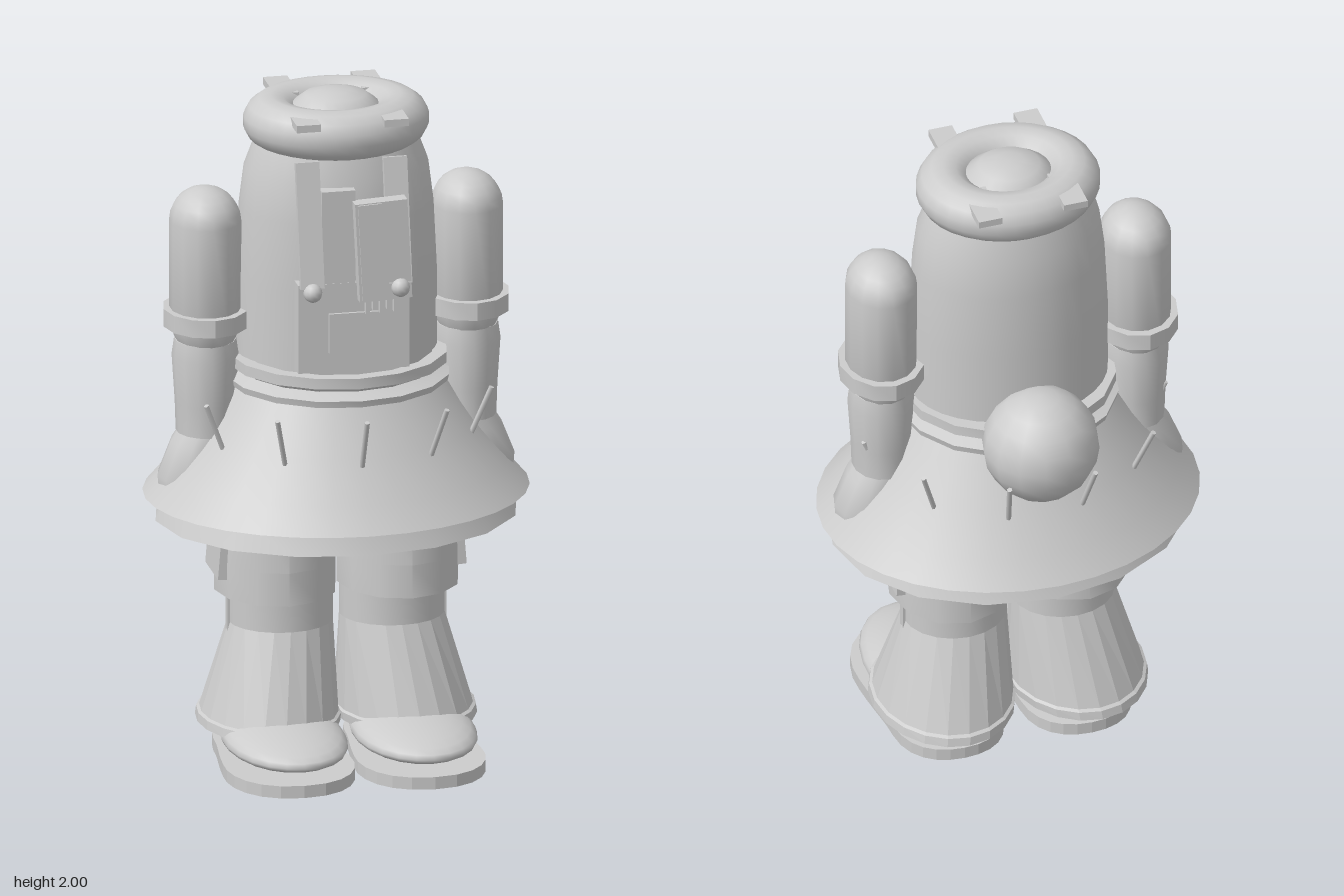
import * as THREE from 'three';
import { toCreasedNormals } from 'three/addons/utils/BufferGeometryUtils.js';

const grey = new THREE.MeshStandardMaterial({ color: 0xcccccc });
grey.name = 'grey';
const greyOpen = new THREE.MeshStandardMaterial({ color: 0xcccccc, side: THREE.DoubleSide });
greyOpen.name = 'grey';

export function createModel() {
  const model = new THREE.Group();

  const add = (name, geo, x = 0, y = 0, z = 0, mat = grey) => {
    const mesh = new THREE.Mesh(geo, mat);
    mesh.name = name;
    mesh.position.set(x, y, z);
    model.add(mesh);
    return mesh;
  };
  // Turned part with an oval plan: points are [radius, y], bottom to top
  const turned = (points, sides, sx = 1, sz = 1, crease = 0.6) => {
    const g = new THREE.LatheGeometry(points.map(p => new THREE.Vector2(p[0], p[1])), sides);
    g.scale(sx, 1, sz);
    return toCreasedNormals(g, crease);
  };
  const box = (name, w, h, d, x, y, z, rx = 0, rz = 0) => {
    const m = add(name, new THREE.BoxGeometry(w, h, d), x, y, z);
    m.rotation.set(rx, 0, rz);
    return m;
  };

  // Torso and rolled collar
  add('torso', turned([[0, 1.05], [0.295, 1.05], [0.295, 1.45], [0.285, 1.66], [0.27, 1.78],
    [0.24, 1.86], [0, 1.86]], 32, 1, 0.8));
  const roll = [];
  for (let i = 0; i <= 14; i++) {
    const a = -Math.PI / 2 + i / 14 * Math.PI * 2;
    roll.push([0.19 + 0.083 * Math.cos(a), 1.912 + 0.075 * Math.sin(a)]);
  }
  add('collarRoll', turned(roll, 32, 1, 0.86, 1.2));
  add('headDome', turned([[0.15, 1.9], [0.13, 1.955], [0.09, 1.985], [0.045, 1.997], [0, 2]],
    24, 1, 0.92, 1), 0, 0, -0.01);

  // Bib, its panels and hanging pouch
  box('bib', 0.33, 0.29, 0.1, 0, 1.345, 0.198);
  box('bibPocket', 0.15, 0.12, 0.012, 0, 1.34, 0.251);
  box('chestPanel', 0.1, 0.28, 0.05, -0.045, 1.63, 0.222);
  box('pouch', 0.155, 0.3, 0.045, 0.08, 1.592, 0.263, 0, 0.05);
  box('pouchSeam', 0.07, 0.29, 0.012, 0.045, 1.592, 0.285, 0, 0.05);
  for (let i = 0; i < 5; i++) {
    box('pouchFringe', 0.012, 0.05, 0.02, 0.035 + i * 0.021, 1.425 + (i % 2) * 0.01, 0.265);
  }

  // Shoulder straps, buttons and the strap ends over the collar
  for (const s of [-1, 1]) {
    box('strap', 0.07, 0.37, 0.02, s * 0.13, 1.67, 0.24, -0.2);
    add('strapButton', new THREE.SphereGeometry(0.028, 12, 8), s * 0.13, 1.478, 0.285);
    box('frontStrapEnd', 0.072, 0.022, 0.1, s * 0.13, 1.962, 0.183);
    box('backStrapEnd', 0.072, 0.022, 0.16, s * 0.13, 1.962, -0.155);
  }

  // Waistband
  add('waistband', turned([[0.26, 1.13], [0.325, 1.135], [0.33, 1.155], [0.285, 1.172], [0.295, 1.185],
    [0.322, 1.19], [0.322, 1.222], [0.28, 1.222]], 16, 1, 0.96), 0, 0, 0.02, greyOpen);

  // Skirt with a short lining frill below the hem
  add('skirt', turned([[0.565, 0.79], [0.5, 0.865], [0.41, 0.985], [0.34, 1.09], [0.3, 1.15]],
    32, 1, 0.855), 0, 0, 0, greyOpen);
  add('skirtLining', turned([[0.535, 0.72], [0.5, 0.8]], 16, 1, 0.84), 0, 0, 0, greyOpen);

  // Ring of outward leaning pegs on the skirt
  for (let i = 0; i < 11; i++) {
    const a = i / 11 * Math.PI * 2, sx = Math.sin(a), cz = Math.cos(a);
    const low = new THREE.Vector3(0.4 * sx, 0.965, 0.36 * cz);
    const high = new THREE.Vector3(0.465 * sx, 1.12, 0.43 * cz);
    const peg = add('skirtPeg', new THREE.CylinderGeometry(0.008, 0.008, low.distanceTo(high), 6));
    peg.position.copy(low).add(high).multiplyScalar(0.5);
    peg.quaternion.setFromUnitVectors(new THREE.Vector3(0, 1, 0), high.sub(low).normalize());
  }

  // Round bundle at the back
  add('backBundle', new THREE.SphereGeometry(0.172, 14, 10), 0, 1.18, -0.302);

  // Arms: domed sleeve, band, forearm and mitten
  const sleeve = [[0, 1.26], [0.085, 1.265], [0.104, 1.31], [0.104, 1.63]];
  for (let i = 1; i <= 6; i++) {
    const a = i / 6 * Math.PI / 2;
    sleeve.push([i === 6 ? 0 : 0.104 * Math.cos(a), 1.63 + 0.1 * Math.sin(a)]);
  }
  for (const s of [-1, 1]) {
    const x = s * 0.388;
    add('sleeve', turned(sleeve, 14, 1, 1.15, 0.8), x);
    add('armBand', turned([[0.09, 1.312], [0.124, 1.312], [0.124, 1.365], [0.09, 1.365]],
      12, 1, 1.16), x);
    add('forearm', turned([[0, 0.99], [0.085, 0.99], [0.088, 1.08], [0.097, 1.22], [0.09, 1.27], [0, 1.28]],
      14, 1, 1.1), x);
    // The mitten leans outward below the wrist
    const hand = turned([[0, 0.69], [0.05, 0.7], [0.085, 0.76], [0.1, 0.86], [0.095, 0.96],
      [0.085, 1.03], [0, 1.035]], 12, 1, 1.02, 0.9);
    const p = hand.attributes.position;
    for (let i = 0; i < p.count; i++) {
      const t = (1.03 - p.getY(i)) / 0.34;
      p.setX(i, p.getX(i) + s * 0.1 * Math.sin(Math.min(1, t * 1.4) * 1.3) * (1 - 0.25 * t));
    }
    hand.computeVertexNormals();
    add('mitten', toCreasedNormals(hand, 0.9), s * 0.36);
  }

  // Sole outline: broad toe, narrower heel
  const soleShape = new THREE.Shape();
  soleShape.moveTo(0, -0.465);
  soleShape.bezierCurveTo(0.15, -0.465, 0.2, -0.33, 0.188, -0.22);
  soleShape.bezierCurveTo(0.18, -0.1, 0.165, -0.05, 0.165, 0.02);
  soleShape.bezierCurveTo(0.16, 0.14, 0.09, 0.19, 0, 0.19);
  soleShape.bezierCurveTo(-0.09, 0.19, -0.16, 0.14, -0.165, 0.02);
  soleShape.bezierCurveTo(-0.165, -0.05, -0.18, -0.1, -0.188, -0.22);
  soleShape.bezierCurveTo(-0.2, -0.33, -0.15, -0.465, 0, -0.465);

  // Legs and shoes
  for (const s of [-1, 1]) {
    const x = s * 0.19;
    add('thigh', turned([[0, 0.55], [0.165, 0.55], [0.155, 1.05], [0, 1.05]], 20), s * 0.175);
    add('kneeCuff', turned([[0.1, 0.5], [0.18, 0.5], [0.18, 0.6], [0.172, 0.74], [0.12, 0.75]],
      12, 1, 1.15), s * 0.182, 0, 0, greyOpen);
    add('shin', turned([[0, 0.36], [0.154, 0.36], [0.154, 0.56], [0, 0.56]], 20, 1, 0.94), s * 0.165);

    // Flared trouser bell, spreading off centre towards the hem
    const bell = turned([[0, 0.1], [0.208, 0.1], [0.208, 0.125], [0.2, 0.13], [0.154, 0.4], [0, 0.4]],
      20, 1, 1);
    const p = bell.attributes.position;
    for (let i = 0; i < p.count; i++) {
      const t = (0.4 - p.getY(i)) / 0.3;
      p.setX(i, p.getX(i) + s * 0.038 * t);
      p.setZ(i, p.getZ(i) * (0.94 + 0.33 * t));
    }
    bell.computeVertexNormals();
    add('trouserBell', bell, s * 0.165);

    box('sidePocket', 0.03, 0.22, 0.175, s * 0.345, 0.665, 0, 0, s * 0.08);
    box('sideTag', 0.02, 0.14, 0.025, s * 0.315, 0.44, 0);

    const sole = add('shoeSole', new THREE.ExtrudeGeometry(soleShape,
      { depth: 0.037, bevelEnabled: false, curveSegments: 6 }), s * 0.194);
    sole.rotation.x = -Math.PI / 2;

    // Shoe upper: rounded, with a low toe rising to the instep
    const shoe = new THREE.SphereGeometry(1, 24, 14);
    const q = shoe.attributes.position;
    for (let i = 0; i < q.count; i++) {
      const z = q.getZ(i), y = q.getY(i);
      const rise = y > 0 ? 0.07 - 0.015 * Math.max(0, z) : 0.048;
      q.setXYZ(i, q.getX(i) * (0.178 + 0.02 * z), 0.088 + y * rise, 0.14 + 0.325 * z);
    }
    shoe.computeVertexNormals();
    add('shoeUpper', shoe, s * 0.192);
    add('shoeInsole', turned([[0, 0.03], [0.13, 0.03], [0.13, 0.1], [0, 0.1]], 16), x);
  }
  return model;
}
